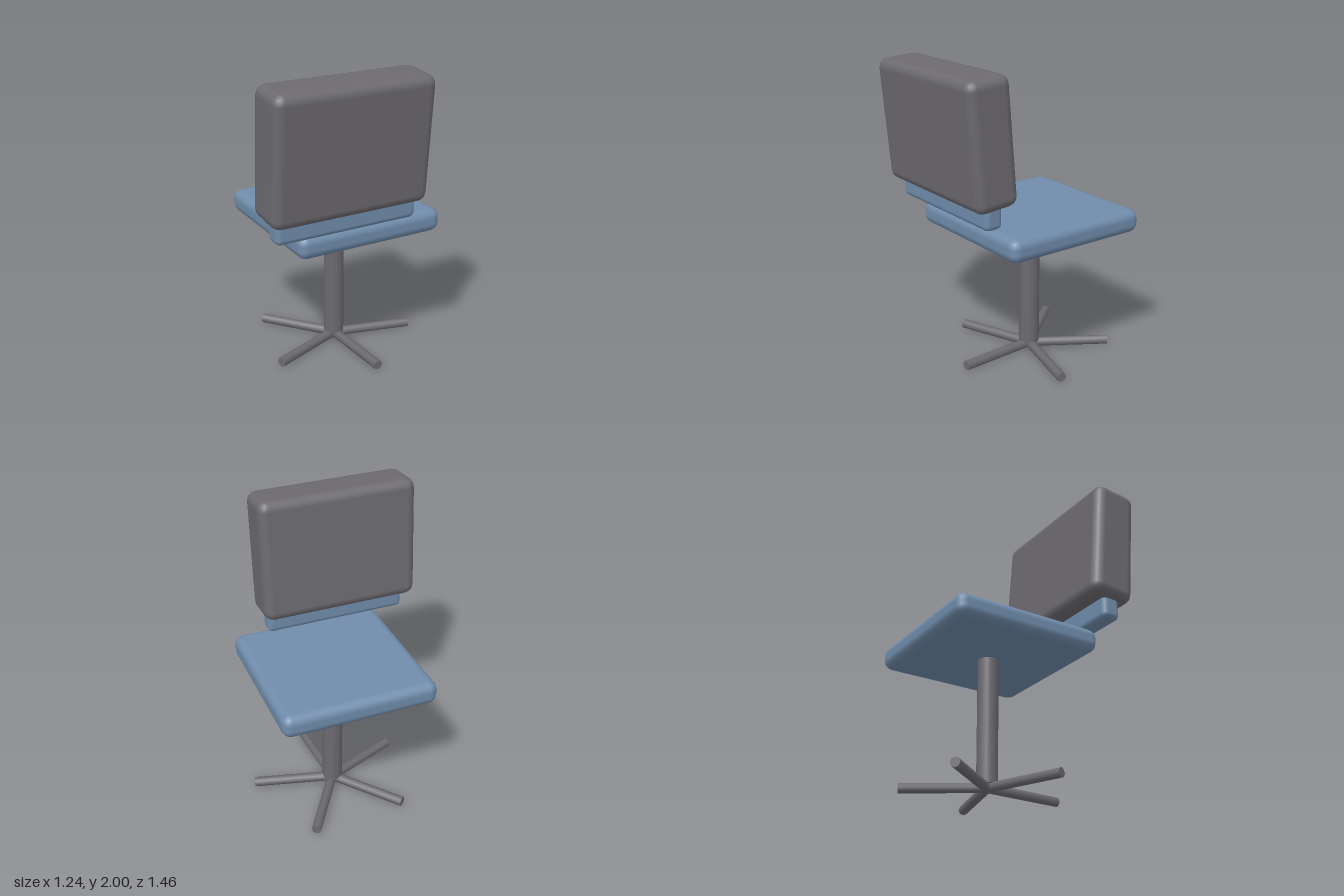
import * as THREE from 'three';
import { RoundedBoxGeometry } from 'three/addons/geometries/RoundedBoxGeometry.js';

export function createModel() {
  const model = new THREE.Group();
  model.name = 'swivelChair';

  const grey = new THREE.MeshStandardMaterial({ color: 0x6c6a6f });
  grey.name = 'dark grey';
  const blue = new THREE.MeshStandardMaterial({ color: 0x708cab });
  blue.name = 'dusty blue';

  const AXIS_Z = -0.116; // the pedestal stands behind the middle
  const TURN = THREE.MathUtils.degToRad(15); // seat is swivelled on the base
  const TILT = THREE.MathUtils.degToRad(4.8); // backrest reclines

  const add = (name, geometry, material, x, y, z) => {
    const mesh = new THREE.Mesh(geometry, material);
    mesh.name = name;
    mesh.position.set(x, y, z);
    model.add(mesh);
    return mesh;
  };
  const cushion = (name, size, radius, material, x, y, z, tilt = 0) => {
    const mesh = add(name, new RoundedBoxGeometry(...size, 2, radius), material, x, y, z);
    mesh.rotation.set(tilt, TURN, 0, 'YXZ');
    return mesh;
  };

  // Cushions
  cushion('seat', [1.03, 0.156, 1.03], 0.06, blue, 0, 0.96, AXIS_Z);
  cushion('backSupport', [0.976, 0.2, 0.125], 0.035, blue, -0.07, 1.138, 0.408);
  cushion('backrest', [1.076, 0.825, 0.309], 0.065, grey, -0.07, 1.58, 0.428, TILT);

  // Pedestal column
  add('post', new THREE.CylinderGeometry(0.068, 0.068, 0.86, 16), grey, 0, 0.48, AXIS_Z);

  // Five round legs spread like a star
  const LEG = 0.545, LEG_R = 0.032;
  const legGeometry = new THREE.CylinderGeometry(LEG_R, LEG_R, LEG, 8);
  legGeometry.rotateZ(-Math.PI / 2).translate(LEG / 2, 0, 0);
  for (let i = 0; i < 5; i++) {
    add('leg' + (i + 1), legGeometry, grey, 0, LEG_R, AXIS_Z).rotation.y = (i * Math.PI * 2) / 5;
  }

  return model;
}
